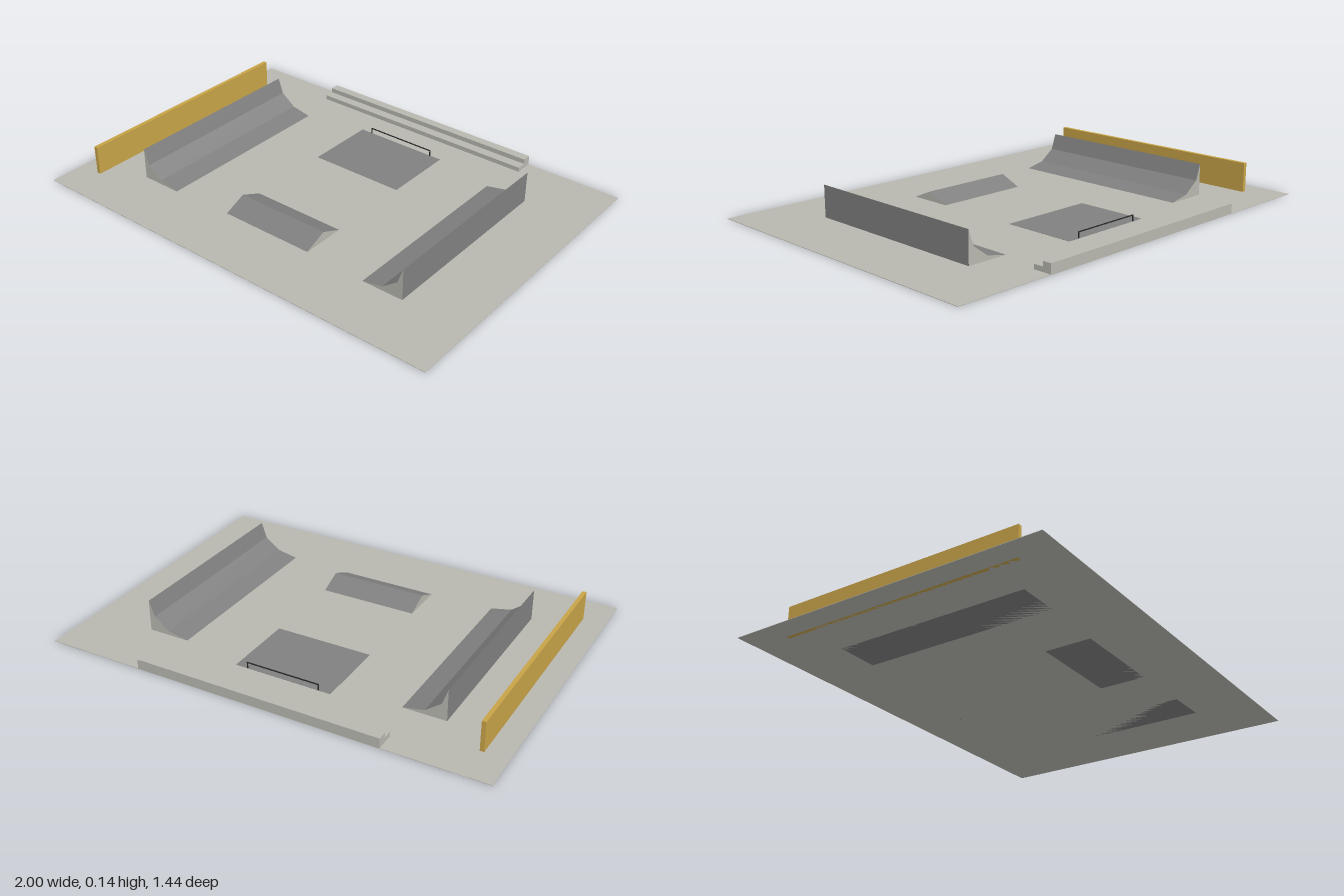
import * as THREE from 'three';

const mat = (name, color) => {
  const m = new THREE.MeshStandardMaterial({ color });
  m.name = name;
  return m;
};

export function createModel() {
  const concrete = mat('concrete', 0xb8b8b0);
  const ramp = mat('ramp grey', 0x808080);
  const wood = mat('ochre', 0xc8a448);
  const steel = mat('dark steel', 0x282828);

  const park = new THREE.Group();
  park.name = 'skatePark';

  // Box given by its footprint centre, base height and size
  const box = (name, material, x, y, z, w, h, d) => {
    const mesh = new THREE.Mesh(new THREE.BoxGeometry(w, h, d), material);
    mesh.position.set(x, y + h / 2, z);
    mesh.name = name;
    park.add(mesh);
    return mesh;
  };

  // Prism along z: concrete ends, grey running surfaces
  const prism = (name, points, length) => {
    const shape = new THREE.Shape(points.map(([x, y]) => new THREE.Vector2(x, y)));
    const geo = new THREE.ExtrudeGeometry(shape, { depth: length, bevelEnabled: false });
    geo.translate(0, 0, -length / 2);
    const mesh = new THREE.Mesh(geo, [concrete, ramp]);
    mesh.name = name;
    park.add(mesh);
    return mesh;
  };

  // Ground slab and side wall
  box('groundSlab', concrete, 0, 0, 0, 2, 0.002, 1.44);
  box('sideWall', wood, -0.89, 0, 0, 0.018, 0.135, 1.11);

  // Two facing quarter pipes, three facets each
  const profile = [[0.7, 0]];
  for (let i = 3; i >= 0; i--) {
    const a = (i / 3) * Math.PI / 2;
    profile.push([0.51 + 0.19 * Math.sin(a), 0.002 + 0.142 * (1 - Math.cos(a))]);
  }
  profile.push([0.51, 0]);
  prism('leftQuarterPipe', profile, 0.888);
  prism('rightQuarterPipe', profile, 0.888).rotation.y = Math.PI;

  // Ridge ramp near the front
  const ridge = prism('ridgeRamp', [[-0.106, 0], [0.106, 0], [0, 0.045]], 0.444);
  ridge.rotation.y = Math.PI / 2;
  ridge.position.z = 0.33;

  // Flat pad with a grind rail at its back edge
  box('flatPad', ramp, 0, 0.001, -0.335, 0.444, 0.002, 0.333);
  box('railBar', steel, 0, 0.027, -0.5, 0.337, 0.004, 0.004);
  for (const x of [-0.1665, 0.1665]) box('railPost', steel, x, 0, -0.5, 0.004, 0.028, 0.004);

  // Two steps along the back edge
  box('lowerStep', concrete, 0, 0, -0.657, 1.11, 0.023, 0.044);
  box('upperStep', concrete, 0, 0, -0.6995, 1.11, 0.045, 0.041);

  return park;
}
